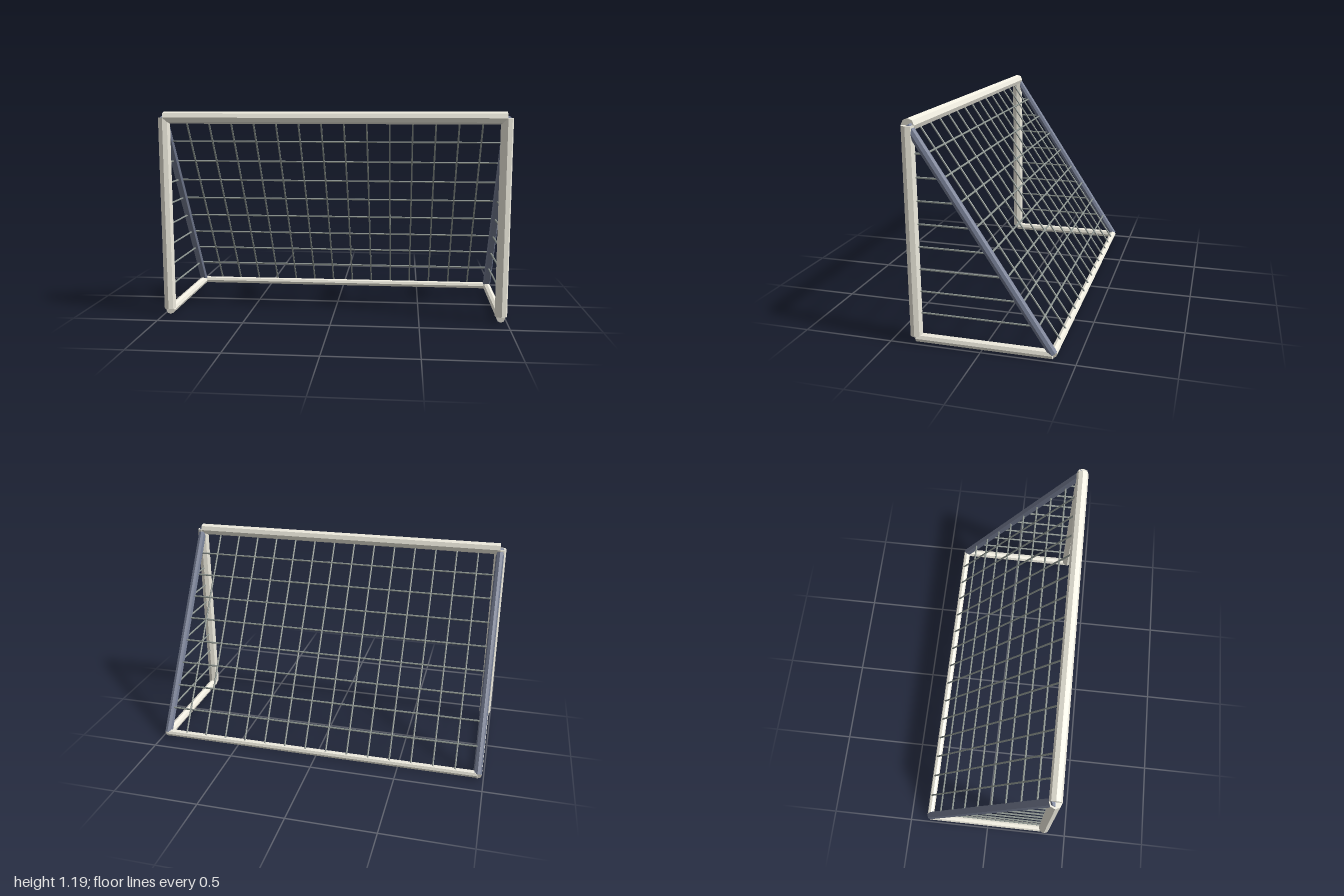
import * as THREE from 'three';

export function createModel() {
  const goal = new THREE.Group();
  goal.name = 'goal';

  const material = (color) => new THREE.MeshStandardMaterial({ color, flatShading: true });
  const frameMat = material(0xf0ede0);
  const braceMat = material(0x747c92);
  const netMat = material(0x8c948f);
  const UP = new THREE.Vector3(0, 1, 0);

  // Straight round bar between two points
  function bar(name, from, to, radius, mat, parent = goal, sides = 8) {
    const a = new THREE.Vector3(...from);
    const b = new THREE.Vector3(...to);
    const dir = b.clone().sub(a);
    const mesh = new THREE.Mesh(new THREE.CylinderGeometry(radius, radius, dir.length(), sides), mat);
    mesh.name = name;
    mesh.position.copy(a).add(b).multiplyScalar(0.5);
    mesh.quaternion.setFromUnitVectors(UP, dir.normalize());
    parent.add(mesh);
  }

  const X = 0.965, FRONT = 0.364, BACK = -0.376, TOP = 1.158, GROUND = 0.025;

  // Front frame and rear ground bar
  bar('crossbar', [-X, TOP, FRONT], [X, TOP, FRONT], 0.035, frameMat);
  bar('rearGroundBar', [-X, GROUND + 0.003, BACK], [X, GROUND + 0.003, BACK], 0.021, frameMat);

  // Both sides: post, ground bar and sloping brace
  for (const [side, s] of [['left', 1], ['right', -1]]) {
    bar(side + 'Post', [s * X, 0.038, FRONT], [s * X, TOP, FRONT], 0.035, frameMat);
    bar(side + 'GroundBar', [s * X, GROUND, FRONT], [s * X, GROUND, BACK], 0.025, frameMat);
    bar(side + 'Brace', [s * X, 0.028, BACK], [s * X, TOP, FRONT], 0.024, braceMat);
  }

  // Net: sloping back grid plus level side strands
  const net = new THREE.Group();
  net.name = 'net';
  goal.add(net);
  const netTop = [1.14, 0.359], netBottom = [0.046, -0.383];
  const strand = (name, a, b) => bar(name, a, b, 0.0055, netMat, net, 6);

  const columns = 15, rows = 9;
  for (let i = 1; i < columns; i++) {
    const x = -X + (2 * X * i) / columns;
    strand('netSlopingStrand', [x, ...netBottom], [x, ...netTop]);
  }
  for (let j = 1; j < rows; j++) {
    const y = THREE.MathUtils.lerp(netBottom[0], netTop[0], j / rows);
    const z = THREE.MathUtils.lerp(netBottom[1], netTop[1], j / rows);
    strand('netCrossStrand', [-X, y, z], [X, y, z]);
    for (const s of [1, -1]) strand('netSideStrand', [s * X, y, FRONT], [s * X, y, z]);
  }

  return goal;
}
